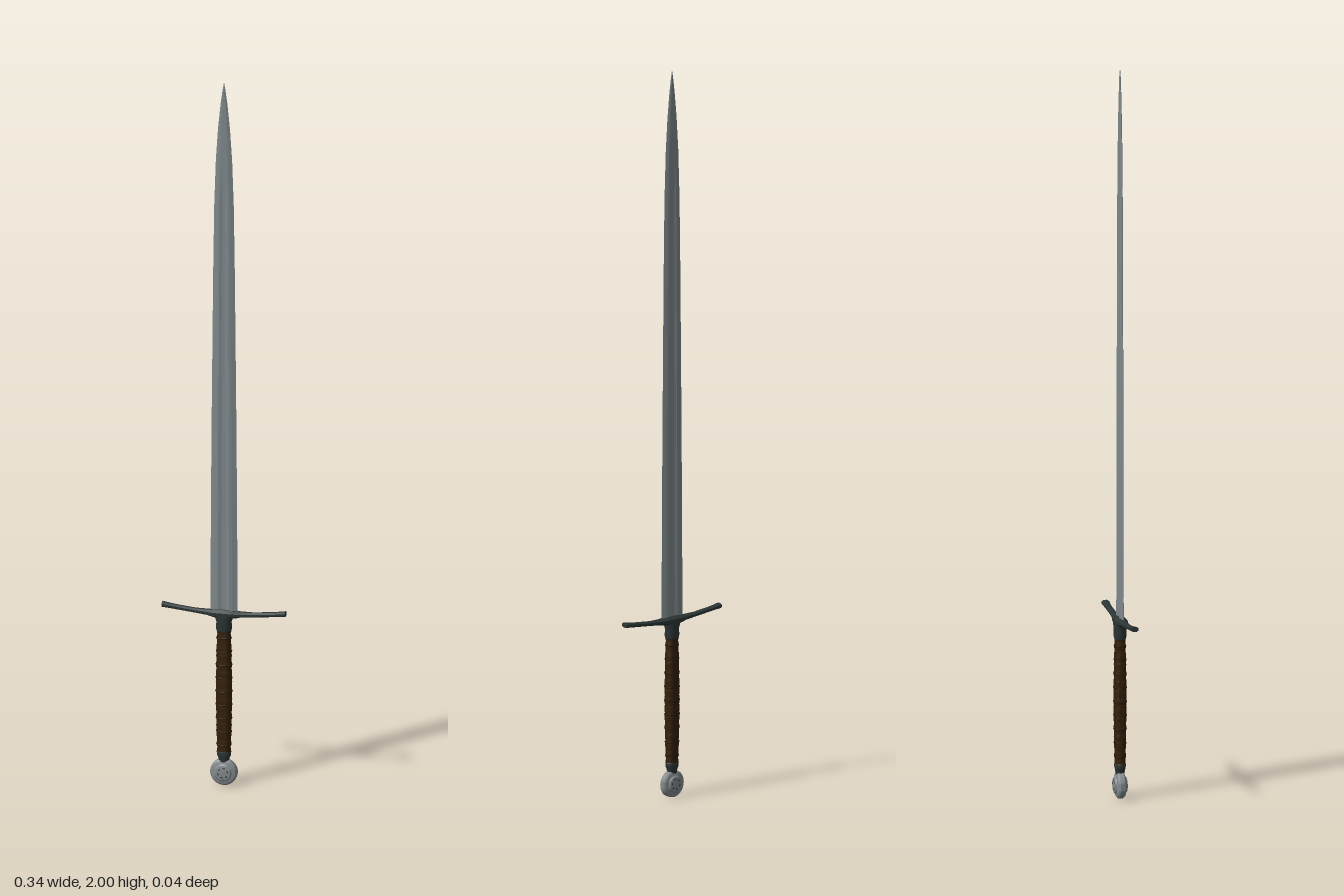
import * as THREE from 'three';
import { toCreasedNormals } from 'three/addons/utils/BufferGeometryUtils.js';

const mat = (name, color) => {
  const m = new THREE.MeshStandardMaterial({ color });
  m.name = name;
  return m;
};

// Skin a list of equal-length rings (arrays of Vector3) and cap both ends
function loft(rings, crease = 0.5) {
  const n = rings[0].length, pos = [], idx = [];
  const add = (p) => pos.push(p.x, p.y, p.z) / 3 - 1;
  rings.forEach((r) => r.forEach(add));
  for (let i = 0; i < rings.length - 1; i++) {
    for (let j = 0; j < n; j++) {
      const a = i * n + j, b = i * n + (j + 1) % n;
      idx.push(a, a + n, b, b, a + n, b + n);
    }
  }
  const cap = (i, flip) => {
    const c = new THREE.Vector3();
    rings[i].forEach((p) => c.addScaledVector(p, 1 / n));
    const k = add(c);
    for (let j = 0; j < n; j++) {
      const a = i * n + j, b = i * n + (j + 1) % n;
      idx.push(k, flip ? b : a, flip ? a : b);
    }
  };
  cap(0, false);
  cap(rings.length - 1, true);
  const g = new THREE.BufferGeometry();
  g.setAttribute('position', new THREE.Float32BufferAttribute(pos, 3));
  g.setIndex(idx);
  return toCreasedNormals(g, crease);
}

// Horizontal ellipse ring at height y
const ellipse = (y, rx, rz, n = 20) => Array.from({ length: n }, (_, j) => {
  const a = (j / n) * Math.PI * 2;
  return new THREE.Vector3(Math.cos(a) * rx, y, Math.sin(a) * rz);
});

// Fullered blade section: quarter outline mirrored to a closed ring
function bladeRing(y, w, t, groove) {
  const q = [[1, 0], [0.62, 0.8], [0.4, 1], [0.3, 1 - groove * 0.5], [0.12, 1 - groove]];
  const half = [...q, ...q.slice(1).reverse().map(([x, z]) => [-x, z])];
  const full = [...half, [-1, 0], ...half.slice(1).reverse().map(([x, z]) => [x, -z])];
  return full.map(([x, z]) => new THREE.Vector3(x * w, y, z * t));
}

// Octagonal guard section at position x
const guardRing = ([x, y, h, d]) => Array.from({ length: 8 }, (_, j) => {
  const a = ((j + 0.5) / 8) * Math.PI * 2, k = 1 / Math.cos(Math.PI / 8);
  return new THREE.Vector3(x, y + Math.cos(a) * h * k, -Math.sin(a) * d * k);
});

export function createModel() {
  const steel = mat('blade steel', 0x7f888c);
  const iron = mat('dark iron', 0x2c3535);
  const leather = mat('brown leather', 0x342009);
  const cord = mat('dark leather cord', 0x221608);
  const silver = mat('pommel steel', 0x858b8e);

  const sword = new THREE.Group();
  sword.name = 'sword';
  const part = (name, geo, material, parent = sword) => {
    const m = new THREE.Mesh(geo, material);
    m.name = name;
    parent.add(m);
    return m;
  };

  // Blade: gently tapered, fuller fading out before the point
  part('blade', loft([
    [0.485, 0.038, 0.006, 0.5], [1.0, 0.0345, 0.0055, 0.5], [1.45, 0.030, 0.005, 0.5],
    [1.65, 0.027, 0.0045, 0.45], [1.78, 0.0225, 0.004, 0.1], [1.87, 0.0165, 0.0033, 0],
    [1.94, 0.0095, 0.0025, 0], [1.98, 0.004, 0.0018, 0], [2.0, 0.0004, 0.0004, 0],
  ].map((s) => bladeRing(...s)), 0.1), steel);

  // Crossguard: slightly upswept arms, flared tips and a swollen centre
  const arm = [[0.012, 0.487, 0.012, 0.0165], [0.03, 0.487, 0.010, 0.0145],
    [0.045, 0.488, 0.0075, 0.011], [0.08, 0.490, 0.006, 0.0085],
    [0.13, 0.495, 0.006, 0.0085], [0.155, 0.498, 0.0065, 0.0095], [0.17, 0.5, 0.007, 0.011]];
  part('crossguard', loft([
    ...arm.map(([x, ...r]) => [-x, ...r]).reverse(), ...arm,
  ].map(guardRing), 0.4), iron);

  // Collar between guard and grip
  part('guardCollar', loft([
    [0.438, 0.020, 0.0155], [0.445, 0.0215, 0.017], [0.465, 0.021, 0.0165],
    [0.478, 0.025, 0.018], [0.492, 0.03, 0.0165],
  ].map((s) => ellipse(...s))), iron);

  // Leather grip swelling towards the middle
  const swell = (y) => 0.0185 + 0.0035 * Math.sin(Math.PI * (y - 0.095) / 0.35);
  const gripRings = [];
  for (let i = 0; i <= 56; i++) {
    const y = 0.095 + (i / 56) * 0.347;
    const r = swell(y) + 0.0007 * Math.cos(i * Math.PI / 2);
    gripRings.push(ellipse(y, r, r * 0.77));
  }
  part('grip', loft(gripRings, 0.9), leather);

  // Raised cord turns around the grip
  const wraps = new THREE.Group();
  wraps.name = 'gripWraps';
  sword.add(wraps);
  for (let i = 0; i < 9; i++) {
    const y = 0.115 + i * 0.038;
    const turn = part('cordTurn', new THREE.TorusGeometry(swell(y), 0.002, 6, 24), cord, wraps);
    turn.rotation.x = Math.PI / 2;
    turn.scale.y = 0.78;
    turn.position.y = y;
  }

  // Neck between grip and pommel
  part('pommelNeck', loft([
    [0.066, 0.013, 0.012], [0.078, 0.016, 0.013], [0.084, 0.019, 0.015],
    [0.094, 0.020, 0.0155], [0.1, 0.0175, 0.0135],
  ].map((s) => ellipse(...s))), iron);

  // Wheel pommel: bevelled disc with raised hubs
  const pommel = new THREE.Group();
  pommel.name = 'pommel';
  pommel.position.y = 0.037;
  sword.add(pommel);
  const profile = [[0, -0.0165], [0.021, -0.0165], [0.024, -0.013], [0.033, -0.010], [0.037, -0.006],
    [0.037, 0.006], [0.033, 0.010], [0.024, 0.013], [0.021, 0.0165], [0, 0.0165]];
  const wheel = part('pommelWheel', toCreasedNormals(
    new THREE.LatheGeometry(profile.map(([x, y]) => new THREE.Vector2(x, y)), 32), 0.4), silver, pommel);
  wheel.rotation.x = Math.PI / 2;

  // Small dark engraved marks on both pommel faces
  for (const s of [1, -1]) {
    for (let i = 0; i < 6; i++) {
      const a = (i / 6) * Math.PI * 2 + 0.3;
      const mark = part('engravedMark', new THREE.BoxGeometry(0.007, 0.0025, 0.001), iron, pommel);
      mark.position.set(Math.cos(a) * 0.0135, Math.sin(a) * 0.0135, s * 0.0166);
      mark.rotation.z = a + Math.PI / 2;
    }
  }
  return sword;
}
